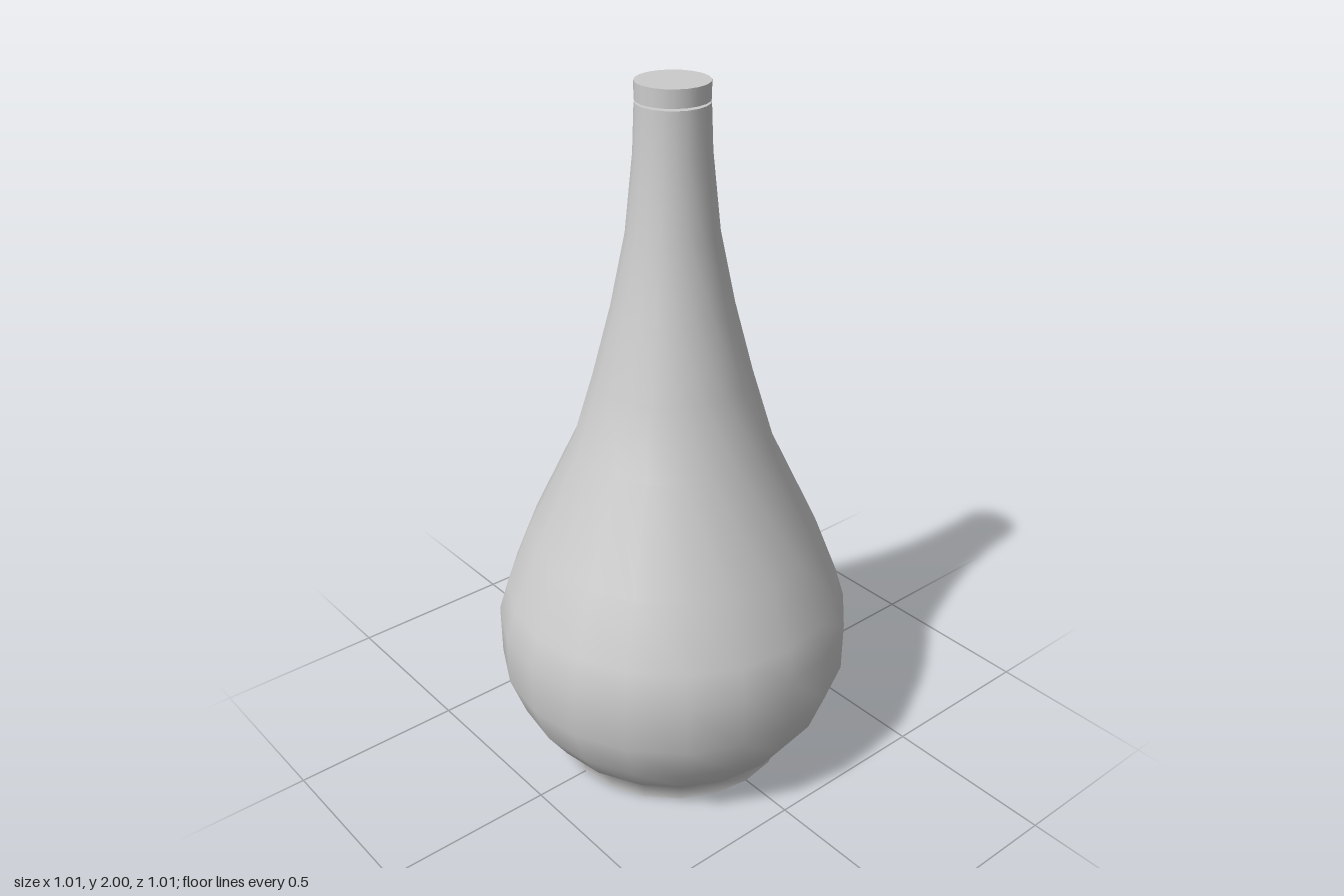
import * as THREE from 'three';

const SIDES = 20;
const material = new THREE.MeshStandardMaterial({ color: 0xcccccc });

// Smooth surface of revolution from [radius, height] pairs, listed bottom to top
function turned(name, profile) {
  const points = profile.map(([r, y]) => new THREE.Vector2(r, y));
  const mesh = new THREE.Mesh(new THREE.LatheGeometry(points, SIDES), material);
  mesh.name = name;
  return mesh;
}

// Flat disc facing up or down
function disc(name, radius, y, up) {
  const mesh = new THREE.Mesh(new THREE.CircleGeometry(radius, SIDES), material);
  mesh.rotation.x = up ? -Math.PI / 2 : Math.PI / 2;
  mesh.position.y = y;
  mesh.name = name;
  return mesh;
}

export function createModel() {
  const model = new THREE.Group();
  model.name = 'bottle';

  // Foot, round belly and tapering neck
  const body = new THREE.Group();
  body.name = 'body';
  body.add(
    turned('bodyWall', [
      [0.337, 0], [0.337, 0.04], [0.4, 0.1], [0.462, 0.19], [0.506, 0.31],
      [0.507, 0.46], [0.48, 0.55], [0.41, 0.73], [0.277, 1.01], [0.217, 1.21],
      [0.165, 1.41], [0.124, 1.61], [0.102, 1.82], [0.097, 1.947],
    ]),
    disc('base', 0.337, 0, false),
    disc('neckRim', 0.097, 1.947, true),
  );

  // Stopper, held by a narrow plug just above the neck rim
  const stopper = new THREE.Group();
  stopper.name = 'stopper';
  stopper.add(
    turned('plug', [[0.057, 1.94], [0.057, 1.954]]),
    disc('stopperUnderside', 0.097, 1.953, false),
    turned('stopperWall', [[0.097, 1.953], [0.097, 2]]),
    disc('stopperTop', 0.097, 2, true),
  );

  model.add(body, stopper);
  return model;
}
